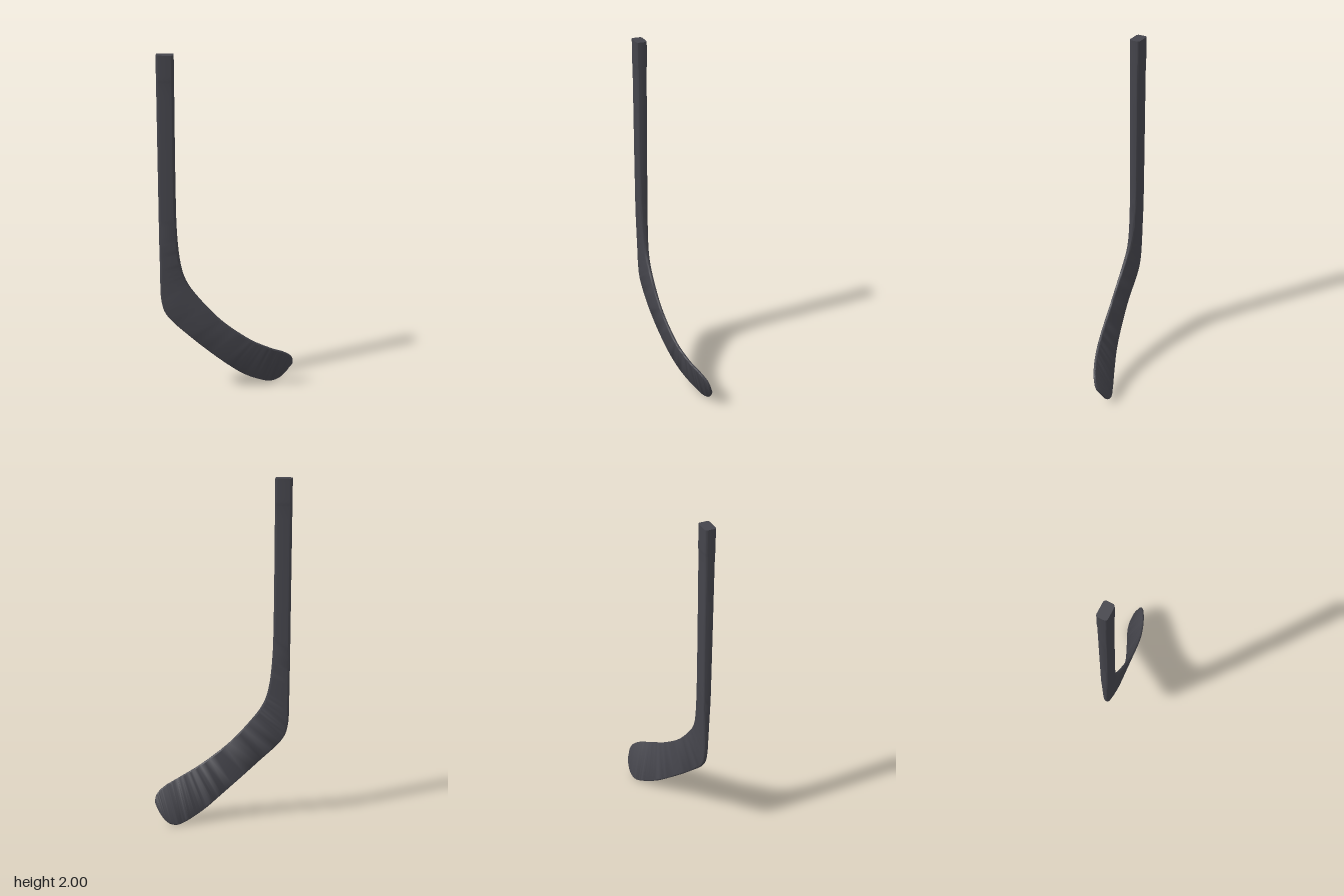
import * as THREE from 'three';
import { toCreasedNormals } from 'three/addons/utils/BufferGeometryUtils.js';

const CORNER_STEPS = 5;
const RING = 4 * (CORNER_STEPS + 1);
const STEPS_PER_SECTION = 6;

// Straight shaft: section heights, all with the same width and depth position
const SHAFT_HEIGHTS = [2, 1.87, 1.84, 1.2];
const shaftEdge = (x) => SHAFT_HEIGHTS.map((y) => [x, y, 0.078]);

// Heel side and lower edge of the blade, out to the toe
const OUTER = [
  [-0.383, 0.95, 0.078], [-0.382, 0.8, 0.078], [-0.382, 0.68, 0.078], [-0.377, 0.58, 0.079],
  [-0.352, 0.5, 0.079], [-0.2, 0.342, 0.067], [0, 0.16, 0.021], [0.1, 0.078, -0.02],
  [0.2, 0.02, -0.068], [0.25, 0.004, -0.09], [0.29, 0.013, -0.1], [0.32, 0.035, -0.101],
  [0.347, 0.07, -0.096], [0.366, 0.1, -0.087],
];

// Inner side and upper edge of the blade, paired with the points above
const INNER = [
  [-0.284, 1.0, 0.078], [-0.27, 0.84, 0.078], [-0.251, 0.75, 0.078], [-0.225, 0.69, 0.078],
  [-0.185, 0.63, 0.078], [-0.04, 0.465, 0.07], [0.13, 0.33, 0.045], [0.2, 0.288, 0.027],
  [0.27, 0.25, 0.002], [0.32, 0.225, -0.022], [0.352, 0.202, -0.04], [0.373, 0.178, -0.056],
  [0.381, 0.152, -0.066], [0.381, 0.13, -0.072],
];

// Half thickness at each section, from butt to toe
const THICKNESS = [
  0.031, 0.031, 0.029, 0.026, 0.024, 0.02, 0.016, 0.013, 0.011,
  0.009, 0.009, 0.009, 0.008, 0.008, 0.008, 0.007, 0.007, 0.005,
];
const STEPS = (THICKNESS.length - 1) * STEPS_PER_SECTION;

const curveThrough = (points) => new THREE.CatmullRomCurve3(points.map((p) => new THREE.Vector3(...p)));

// Rounded rectangle outline, counter-clockwise
function roundedRect(halfWidth, halfThick) {
  const r = Math.min(0.014, halfWidth, halfThick);
  const points = [];
  for (let c = 0; c < 4; c++) {
    const su = c === 0 || c === 3 ? 1 : -1;
    const sn = c < 2 ? 1 : -1;
    for (let k = 0; k <= CORNER_STEPS; k++) {
      const a = (c + k / CORNER_STEPS) * Math.PI / 2;
      points.push([su * (halfWidth - r) + r * Math.cos(a), sn * (halfThick - r) + r * Math.sin(a)]);
    }
  }
  return points;
}

// Loft the rounded sections down the shaft, round the heel and out to the toe
function loftStick() {
  const outer = curveThrough([...shaftEdge(-0.383), ...OUTER]);
  const inner = curveThrough([...shaftEdge(-0.288), ...INNER]);
  const middle = (t) => outer.getPoint(t).add(inner.getPoint(t)).multiplyScalar(0.5);
  const positions = [];
  const index = [];

  for (let i = 0; i <= STEPS; i++) {
    const t = i / STEPS;
    const centre = middle(t);
    const across = inner.getPoint(t).sub(outer.getPoint(t));
    const halfWidth = across.length() / 2;
    across.normalize();
    const along = middle(Math.min(1, t + 0.005)).sub(middle(Math.max(0, t - 0.005)));
    const normal = along.cross(across).normalize();
    const s = Math.min(Math.floor(i / STEPS_PER_SECTION), THICKNESS.length - 2);
    const thick = THREE.MathUtils.lerp(THICKNESS[s], THICKNESS[s + 1], i / STEPS_PER_SECTION - s);
    for (const [u, n] of roundedRect(halfWidth, thick)) {
      const p = centre.clone().addScaledVector(across, u).addScaledVector(normal, n);
      positions.push(p.x, p.y, p.z);
    }
  }

  for (let i = 0; i < STEPS; i++) {
    for (let j = 0; j < RING; j++) {
      const a = i * RING + j;
      const b = i * RING + (j + 1) % RING;
      index.push(a, b, a + RING, b, b + RING, a + RING);
    }
  }

  // Flat butt end and small toe end
  const last = STEPS * RING;
  for (let j = 1; j < RING - 1; j++) {
    index.push(0, j + 1, j);
    index.push(last, last + j, last + j + 1);
  }

  const geometry = new THREE.BufferGeometry();
  geometry.setAttribute('position', new THREE.Float32BufferAttribute(positions, 3));
  geometry.setIndex(index);
  return toCreasedNormals(geometry, 0.8);
}

export function createModel() {
  const model = new THREE.Group();
  model.name = 'hockeyStick';
  const material = new THREE.MeshStandardMaterial({ color: 0x45454c });
  const stick = new THREE.Mesh(loftStick(), material);
  stick.name = 'shaftAndBlade';
  model.add(stick);
  return model;
}
